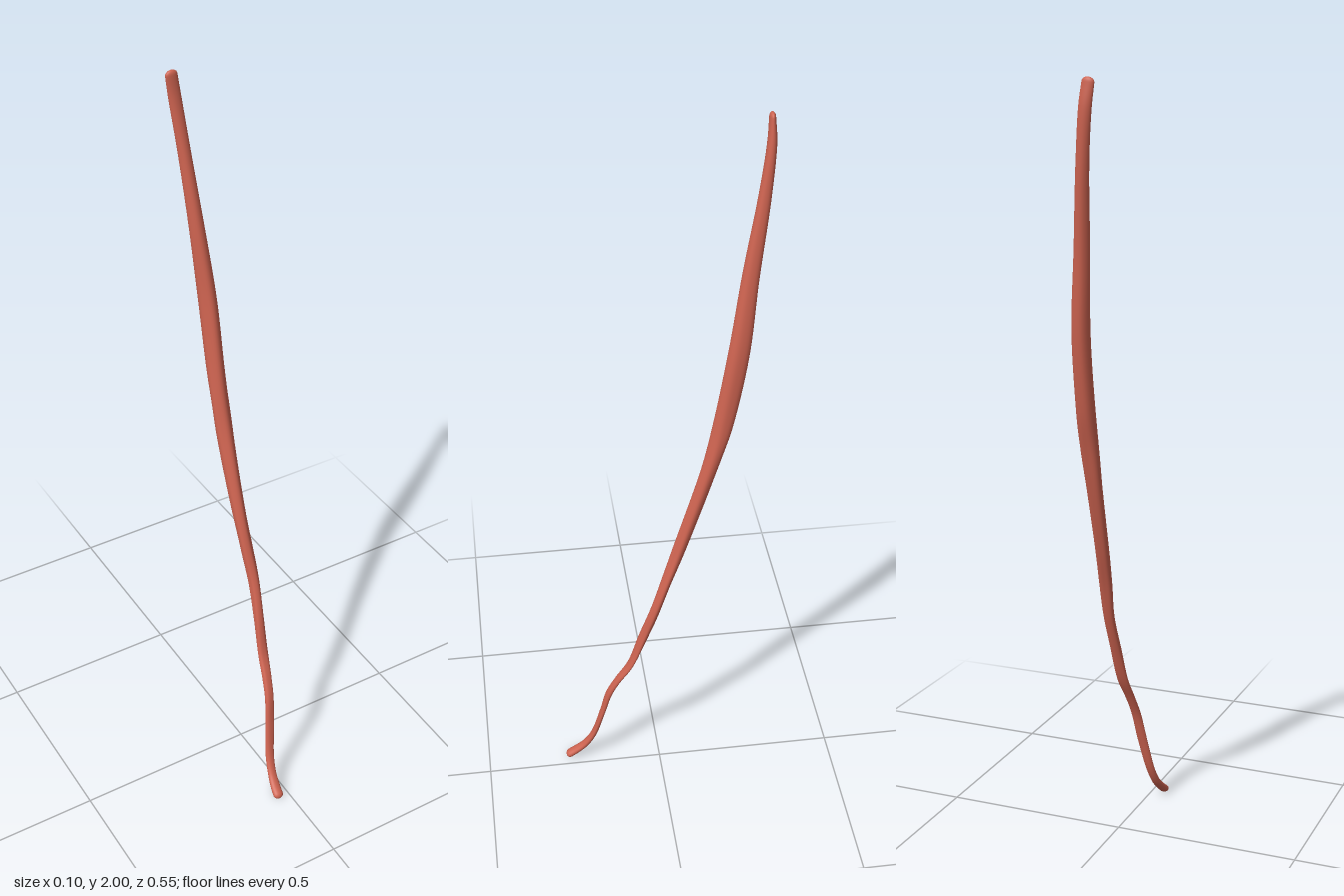
import * as THREE from 'three';

// Stations along the strand: x, y, z, half width, half thickness
const STATIONS = [
  [-0.033, 0.014, 0.262, 0.0145, 0.0105],
  [-0.031, 0.028, 0.244, 0.014, 0.01],
  [-0.026, 0.055, 0.217, 0.0125, 0.009],
  [-0.019, 0.1, 0.192, 0.0125, 0.008],
  [-0.004, 0.2, 0.165, 0.0135, 0.0075],
  [0.006, 0.28, 0.145, 0.0135, 0.0085],
  [0.013, 0.335, 0.12, 0.0135, 0.0085],
  [0.021, 0.4, 0.084, 0.0145, 0.0085],
  [0.028, 0.5, 0.05, 0.0145, 0.012],
  [0.033, 0.6, 0.016, 0.0145, 0.0135],
  [0.029, 0.7, -0.016, 0.0165, 0.014],
  [0.025, 0.8, -0.049, 0.0185, 0.016],
  [0.022, 1.0, -0.111, 0.0215, 0.019],
  [0.022, 1.1, -0.138, 0.023, 0.021],
  [0.021, 1.2, -0.162, 0.024, 0.0245],
  [0.018, 1.4, -0.196, 0.0225, 0.027],
  [0.004, 1.6, -0.22, 0.019, 0.0215],
  [-0.011, 1.8, -0.249, 0.0165, 0.0155],
  [-0.024, 1.93, -0.263, 0.0165, 0.0115],
  [-0.032, 1.988, -0.263, 0.016, 0.0075],
];
const RINGS = 160, SIDES = 28, CAP = 0.012;

function createStrandGeometry() {
  const path = new THREE.CatmullRomCurve3(STATIONS.map(s => new THREE.Vector3(s[0], s[1], s[2])));
  const sizes = new THREE.CatmullRomCurve3(
    STATIONS.map(s => new THREE.Vector3(s[3], s[4], 0)), false, 'catmullrom');
  const across = new THREE.Vector3(1, 0, 0);
  const pos = [], index = [];
  const side = new THREE.Vector3(), normal = new THREE.Vector3();
  const p = new THREE.Vector3(), tangent = new THREE.Vector3(), size = new THREE.Vector3();

  function ring(t, shrink, shift) {
    path.getPoint(t, p);
    path.getTangent(t, tangent);
    sizes.getPoint(t, size);
    p.addScaledVector(tangent, shift);
    normal.crossVectors(across, tangent).normalize();
    side.crossVectors(tangent, normal).normalize();
    for (let j = 0; j < SIDES; j++) {
      const a = (j / SIDES) * Math.PI * 2;
      // shallow fibre furrows that drift along the length and fade at the ends
      const fade = Math.sin(Math.PI * t);
      const r = shrink * (1 + fade * (0.05 * Math.sin(3 * a + 5 * t) + 0.04 * Math.sin(5 * a - 9 * t)
        + 0.04 * Math.sin(2 * a + 40 * t)));
      const v = p.clone()
        .addScaledVector(side, Math.cos(a) * size.x * r)
        .addScaledVector(normal, Math.sin(a) * size.y * r);
      pos.push(v.x, v.y, v.z);
    }
  }

  // rounded lower end, body, rounded upper end
  const capAngles = [0.02, 0.2, 0.4, 0.6, 0.8].map(k => k * Math.PI / 2);
  for (const k of capAngles) ring(0, Math.sin(k), -CAP * Math.cos(k));
  for (let i = 0; i <= RINGS; i++) ring(i / RINGS, 1, 0);
  for (const k of capAngles.reverse()) ring(1, Math.sin(k), CAP * Math.cos(k));

  // skin between neighbouring rings, facing outward
  const rows = pos.length / 3 / SIDES;
  for (let i = 0; i < rows - 1; i++) {
    for (let j = 0; j < SIDES; j++) {
      const a = i * SIDES + j, b = i * SIDES + (j + 1) % SIDES;
      index.push(a, a + SIDES, b, b, a + SIDES, b + SIDES);
    }
  }
  // close the tiny end rings
  const last = (rows - 1) * SIDES;
  for (let j = 1; j < SIDES - 1; j++) {
    index.push(0, j, j + 1, last, last + j + 1, last + j);
  }

  const geometry = new THREE.BufferGeometry();
  geometry.setAttribute('position', new THREE.Float32BufferAttribute(pos, 3));
  geometry.setIndex(index);
  geometry.computeVertexNormals();
  return geometry;
}

export function createModel() {
  const group = new THREE.Group();
  group.name = 'muscle';
  const strand = new THREE.Mesh(createStrandGeometry(), new THREE.MeshStandardMaterial({ color: 0xcd6350 }));
  strand.name = 'muscleStrand';
  group.add(strand);
  return group;
}
